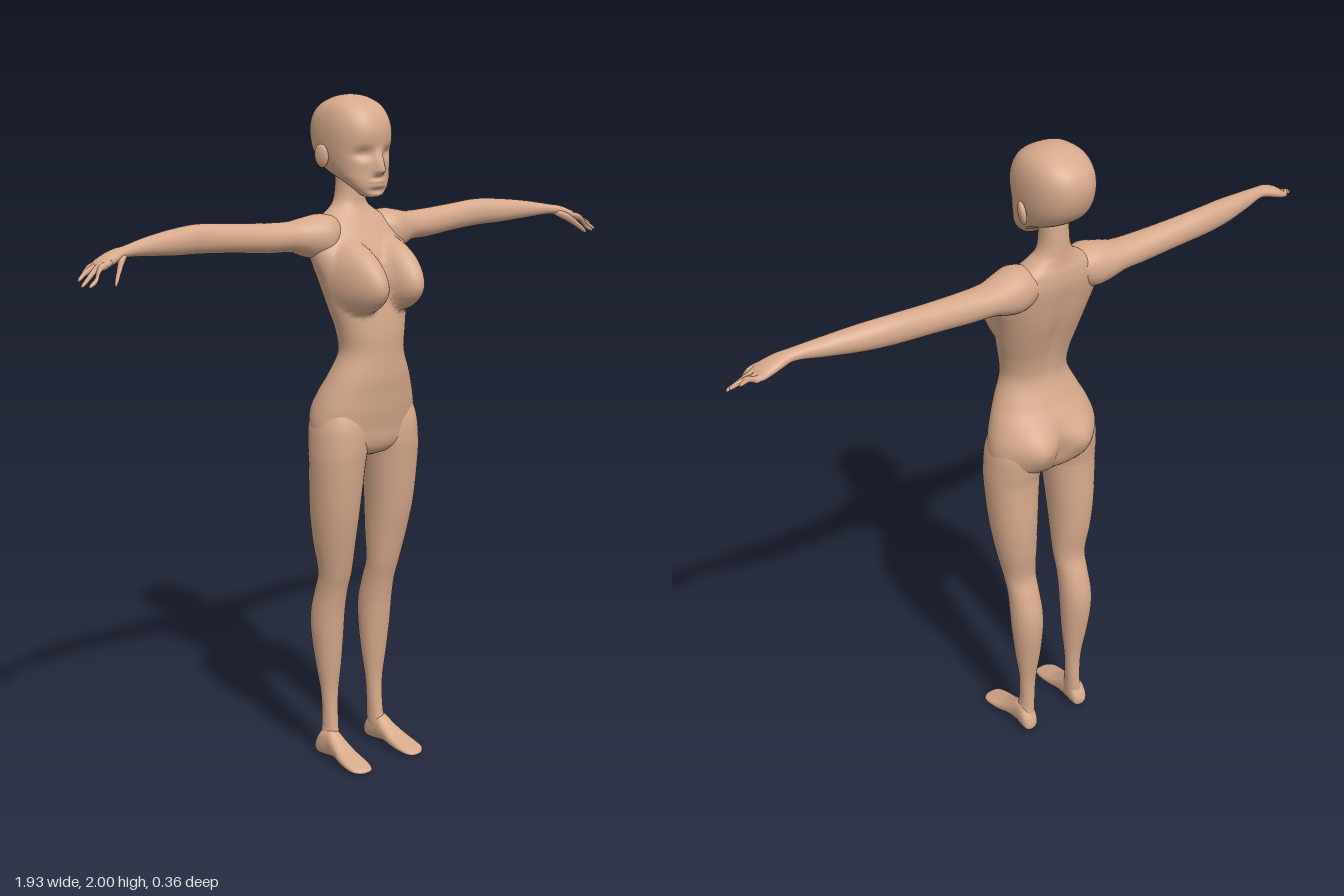
import * as THREE from 'three';

const skin = new THREE.MeshStandardMaterial({ color: 0xd6a98c });
skin.name = 'skin';

const gauss = (v, mid, width) => Math.exp(-(((v - mid) / width) ** 2));

// Smooth interpolation of all section values between rows i and i+1
function blend(rows, i, u) {
  const p = rows[i], q = rows[i + 1], o = rows[Math.max(i - 1, 0)], r = rows[Math.min(i + 2, rows.length - 1)];
  const h = q[0] - p[0];
  return p.map((pv, k) => {
    if (k === 0) return pv + h * u;
    const m0 = (q[k] - o[k]) / (q[0] - o[0]) * h, m1 = (r[k] - pv) / (r[0] - p[0]) * h;
    const u2 = u * u, u3 = u2 * u;
    return (2 * u3 - 3 * u2 + 1) * pv + (u3 - 2 * u2 + u) * m0 + (3 * u2 - 2 * u3) * q[k] + (u3 - u2) * m1;
  });
}

// Closed loft along an axis; each row is [t, aMin, aMax, bMin, bMax].
// Axis y: a = x, b = z.  Axis x: a = y, b = z.  Axis z: a = x, b = y.
function loft(axis, rows, { seg = 32, steps = 5, power = 0.95, deform } = {}) {
  const place = { y: (a, t, b) => [a, t, b], x: (a, t, b) => [t, a, b], z: (a, t, b) => [a, b, t] }[axis];
  const pos = [], index = [], sections = [];
  for (let i = 0; i < rows.length - 1; i++)
    for (let s = 0; s < steps; s++) sections.push(blend(rows, i, s / steps));
  sections.push(rows[rows.length - 1]);
  const curve = v => Math.sign(v) * Math.abs(v) ** power;
  const add = (a, t, b) => {
    const v = new THREE.Vector3(...place(a, t, b));
    if (deform) deform(v);
    pos.push(v.x, v.y, v.z);
  };
  for (const [t, a0, a1, b0, b1] of sections)
    for (let j = 0; j < seg; j++) {
      const w = j / seg * Math.PI * 2;
      add((a0 + a1) / 2 + (a1 - a0) / 2 * curve(Math.cos(w)), t, (b0 + b1) / 2 + (b1 - b0) / 2 * curve(Math.sin(w)));
    }
  const tri = (a, b, c) => (axis === 'y' ? index.push(a, b, c) : index.push(a, c, b));
  const n = sections.length, first = n * seg, last = first + 1;
  for (const [t, a0, a1, b0, b1] of [sections[0], sections[n - 1]]) add((a0 + a1) / 2, t, (b0 + b1) / 2);
  for (let j = 0; j < seg; j++) {
    const k = (j + 1) % seg;
    for (let i = 0; i < n - 1; i++) {
      const p = i * seg, q = p + seg;
      tri(p + j, q + j, p + k);
      tri(p + k, q + j, q + k);
    }
    tri(first, j, k);
    tri((n - 1) * seg + j, last, (n - 1) * seg + k);
  }
  const geo = new THREE.BufferGeometry();
  geo.setAttribute('position', new THREE.Float32BufferAttribute(pos, 3));
  geo.setIndex(index);
  geo.computeVertexNormals();
  return geo;
}

// Mirrored copy across x = 0 with its faces turned back outward
function mirror(geo) {
  const g = geo.clone().scale(-1, 1, 1), a = g.index.array;
  for (let i = 0; i < a.length; i += 3) [a[i], a[i + 1]] = [a[i + 1], a[i]];
  g.computeVertexNormals();
  return g;
}

// Finger from points [x, y, z, radius]
const finger = pts => loft('x', pts.map(([x, y, z, r]) => [x, y - r, y + r, z - r, z + r]), { seg: 12, steps: 4 });

// Bust and buttocks pushed out of the torso
function shapeTorso(v) {
  const ax = Math.abs(v.x);
  if (v.z > 0.015) {
    const dy = v.y - 1.475, r2 = ((ax - 0.077) / 0.068) ** 2 + (dy / (dy > 0 ? 0.125 : 0.088)) ** 2;
    if (r2 < 1) v.z += 0.093 * (1 - r2) ** 0.8 * Math.min(1, (v.z - 0.015) / 0.025);
  }
  if (v.z < 0) {
    const back = Math.min(1, -v.z / 0.05);
    v.z -= 0.03 * back * gauss(ax, 0.08, 0.055) * gauss(v.y, 1.065, 0.06);
    v.z += 0.012 * back * gauss(ax, 0, 0.018) * gauss(v.y, 1.05, 0.07);
    v.z += 0.01 * back * gauss(ax, 0, 0.025) * gauss(v.y, 1.42, 0.14);
  }
}

// Nose, eye sockets and lips
function shapeFace(v) {
  if (v.z < 0.02) return;
  const ax = Math.abs(v.x), y = v.y;
  const slope = y > 1.79 ? Math.max(0, (1.855 - y) / 0.065) : Math.max(0, (y - 1.772) / 0.018);
  v.z += 0.034 * slope * gauss(ax, 0, 0.015);
  v.z -= 0.015 * gauss(ax, 0.044, 0.026) * gauss(y, 1.838, 0.016);
  v.z += 0.008 * gauss(ax, 0, 0.024) * (gauss(y, 1.759, 0.006) + gauss(y, 1.747, 0.006));
  v.z -= 0.005 * gauss(ax, 0, 0.025) * gauss(y, 1.733, 0.006);
}

export function createModel() {
  const model = new THREE.Group();
  model.name = 'figure';
  const add = (name, geo) => {
    const mesh = new THREE.Mesh(geo, skin);
    mesh.name = name;
    model.add(mesh);
  };
  const pair = (name, geo) => {
    add('left' + name, geo);
    add('right' + name, mirror(geo));
  };

  // Torso and neck: [y, half width, back z, front z]
  const torso = [
    [0.955, 0.03, -0.01, 0.04], [0.97, 0.09, -0.05, 0.075], [1.0, 0.163, -0.08, 0.095],
    [1.05, 0.18, -0.095, 0.102], [1.1, 0.176, -0.1, 0.11], [1.15, 0.16, -0.085, 0.115],
    [1.2, 0.137, -0.06, 0.12], [1.27, 0.107, -0.035, 0.12], [1.33, 0.112, -0.04, 0.12],
    [1.4, 0.13, -0.06, 0.112], [1.48, 0.15, -0.085, 0.098], [1.55, 0.168, -0.1, 0.075],
    [1.6, 0.16, -0.108, 0.045], [1.64, 0.13, -0.106, 0.02], [1.665, 0.09, -0.1, 0.004],
    [1.69, 0.056, -0.097, -0.008], [1.73, 0.043, -0.095, -0.01], [1.81, 0.043, -0.09, -0.01],
  ];
  add('torso', loft('y', torso.map(([y, w, b, f]) => [y, -w, w, b, f]), { seg: 96, steps: 6, deform: shapeTorso }));

  // Head: [y, half width, back z, front z]
  const head = [
    [1.714, 0.018, 0.035, 0.06], [1.72, 0.034, 0.02, 0.068], [1.74, 0.055, 0.0, 0.071],
    [1.765, 0.073, -0.05, 0.073], [1.785, 0.083, -0.1, 0.073], [1.81, 0.091, -0.138, 0.074],
    [1.85, 0.098, -0.165, 0.077], [1.9, 0.1, -0.175, 0.08], [1.94, 0.094, -0.165, 0.066],
    [1.97, 0.079, -0.138, 0.04], [1.99, 0.052, -0.1, 0.003], [1.997, 0.03, -0.075, -0.022],
    [2.0, 0.006, -0.053, -0.043],
  ];
  add('head', loft('y', head.map(([y, w, b, f]) => [y, -w, w, b, f]), { seg: 96, steps: 6, power: 0.88, deform: shapeFace }));

  // Ears
  pair('Ear', new THREE.SphereGeometry(1, 20, 14).scale(0.011, 0.034, 0.022)
    .rotateZ(-0.15).rotateY(-0.35).translate(0.105, 1.83, -0.052));

  // Arms run into the palms
  pair('Arm', loft('x', [
    [0.06, 1.57, 1.655, -0.09, 0], [0.12, 1.54, 1.668, -0.108, 0.03], [0.17, 1.546, 1.661, -0.11, 0.018],
    [0.22, 1.563, 1.652, -0.108, 0], [0.3, 1.567, 1.653, -0.104, -0.01], [0.42, 1.578, 1.66, -0.103, -0.022],
    [0.53, 1.585, 1.667, -0.1, -0.028], [0.62, 1.589, 1.662, -0.086, -0.015], [0.72, 1.598, 1.65, -0.058, -0.003],
    [0.8, 1.604, 1.636, -0.032, 0.012], [0.84, 1.594, 1.629, -0.035, 0.024], [0.88, 1.58, 1.613, -0.034, 0.034],
    [0.9, 1.578, 1.599, -0.028, 0.035], [0.906, 1.584, 1.592, -0.015, 0.025],
  ]));

  // Fingers: [root z, tip x, tip y, tip z]
  const fingers = [[0.027, 0.948, 1.545, 0.044], [0.011, 0.967, 1.548, 0.037], [-0.006, 0.966, 1.561, 0.02], [-0.021, 0.945, 1.572, 0.003]];
  fingers.forEach(([z, tx, ty, tz], i) => pair('Finger' + (i + 1), finger([
    [0.87, 1.601, z, 0.008], [0.905, 1.588, z * 0.85 + tz * 0.15, 0.0095],
    [tx - 0.025, ty + 0.016, z * 0.3 + tz * 0.7, 0.0075], [tx - 0.005, ty + 0.004, tz, 0.005], [tx, ty + 0.001, tz, 0.001],
  ])));
  pair('Thumb', finger([
    [0.81, 1.612, 0.002, 0.01], [0.84, 1.596, 0.028, 0.013], [0.865, 1.572, 0.052, 0.01],
    [0.882, 1.553, 0.068, 0.007], [0.888, 1.547, 0.073, 0.001],
  ]));

  // Legs
  pair('Leg', loft('y', [
    [0.03, 0.075, 0.125, -0.07, 0.0], [0.06, 0.07, 0.121, -0.072, -0.004], [0.1, 0.069, 0.114, -0.07, -0.013],
    [0.2, 0.063, 0.117, -0.07, -0.02], [0.3, 0.052, 0.131, -0.086, -0.01], [0.4, 0.046, 0.142, -0.1, 0],
    [0.47, 0.045, 0.144, -0.099, 0.007], [0.54, 0.046, 0.142, -0.08, 0.02], [0.6, 0.044, 0.146, -0.06, 0.037],
    [0.7, 0.04, 0.165, -0.07, 0.06], [0.8, 0.035, 0.178, -0.075, 0.08], [0.95, 0.021, 0.187, -0.072, 0.096],
    [1.0, 0.012, 0.186, -0.078, 0.099], [1.06, 0.015, 0.18, -0.08, 0.095], [1.12, 0.04, 0.16, -0.06, 0.075],
  ], { seg: 40 }));

  // Feet
  pair('Foot', loft('z', [
    [-0.086, 0.09, 0.11, 0.015, 0.03], [-0.078, 0.077, 0.122, 0.003, 0.052], [-0.055, 0.071, 0.127, 0, 0.085],
    [-0.02, 0.071, 0.126, 0.004, 0.09], [0.015, 0.069, 0.131, 0.008, 0.068], [0.055, 0.066, 0.14, 0.003, 0.045],
    [0.095, 0.066, 0.144, 0, 0.03], [0.125, 0.071, 0.14, 0, 0.02], [0.14, 0.08, 0.125, 0.001, 0.014], [0.145, 0.09, 0.11, 0.004, 0.009],
  ], { power: 0.85 }));

  return model;
}
